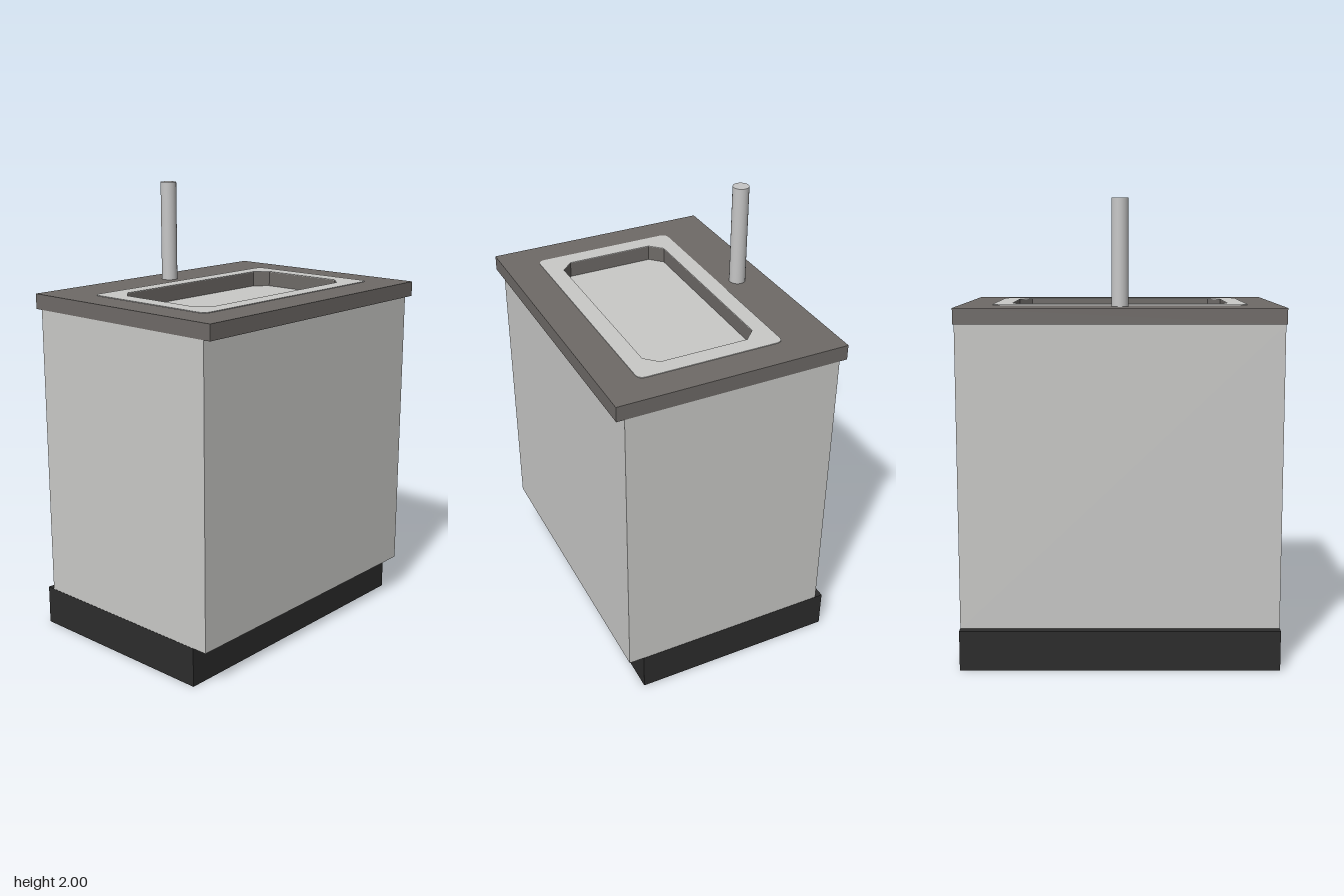
import * as THREE from 'three';

const material = (name, color) => {
  const m = new THREE.MeshStandardMaterial({ color });
  m.name = name;
  return m;
};

// Rectangle outline with chamfered or rounded corners; v runs along -z
function outline(Type, x, zBack, zFront, corner, rounded) {
  const p = new Type();
  const lo = -zFront, hi = -zBack, c = corner;
  const turn = (cx, cy, ex, ey) =>
    rounded ? p.quadraticCurveTo(cx, cy, ex, ey) : p.lineTo(ex, ey);
  p.moveTo(-x + c, lo);
  p.lineTo(x - c, lo);
  turn(x, lo, x, lo + c);
  p.lineTo(x, hi - c);
  turn(x, hi, x - c, hi);
  p.lineTo(-x + c, hi);
  turn(-x, hi, -x, hi - c);
  p.lineTo(-x, lo + c);
  turn(-x, lo, -x + c, lo);
  return p;
}

export function createModel() {
  const group = new THREE.Group();
  const panel = material('light grey panel', 0xc9c9c7);
  const stone = material('warm grey stone', 0x6e6a67);
  const black = material('black plinth', 0x2c2c2c);
  const metal = material('tap metal', 0xc6c6c6);

  const add = (name, geometry, mat, x, y, z) => {
    const mesh = new THREE.Mesh(geometry, mat);
    mesh.name = name;
    mesh.position.set(x, y, z);
    group.add(mesh);
  };

  // Horizontal slab pierced by the basin opening
  const slab = (shape, height) => {
    shape.holes.push(outline(THREE.Path, 0.473, -0.22, 0.282, 0.054, false));
    return new THREE.ExtrudeGeometry(shape, { depth: height, bevelEnabled: false, curveSegments: 6 })
      .rotateX(-Math.PI / 2);
  };

  // Plinth set back at the front, cabinet above; its top is the basin floor
  add('plinth', new THREE.BoxGeometry(1.376, 0.175, 0.926), black, 0, 0.0875, -0.052);
  add('cabinet', new THREE.BoxGeometry(1.374, 1.31, 0.96), panel, 0, 0.83, 0);

  // Worktop with opening
  const top = new THREE.Shape([
    new THREE.Vector2(-0.688, -0.515), new THREE.Vector2(0.688, -0.515),
    new THREE.Vector2(0.688, 0.515), new THREE.Vector2(-0.688, 0.515),
  ]);
  add('worktop', slab(top, 0.067), stone, 0, 1.485, 0);

  // Thin basin rim lying on the worktop
  add('basinRim', slab(outline(THREE.Shape, 0.55, -0.293, 0.358, 0.035, true), 0.003), panel, 0, 1.552, 0);

  // Upright tap
  add('tap', new THREE.CylinderGeometry(0.036, 0.036, 0.448, 24), metal, 0, 1.776, -0.38);

  return group;
}
